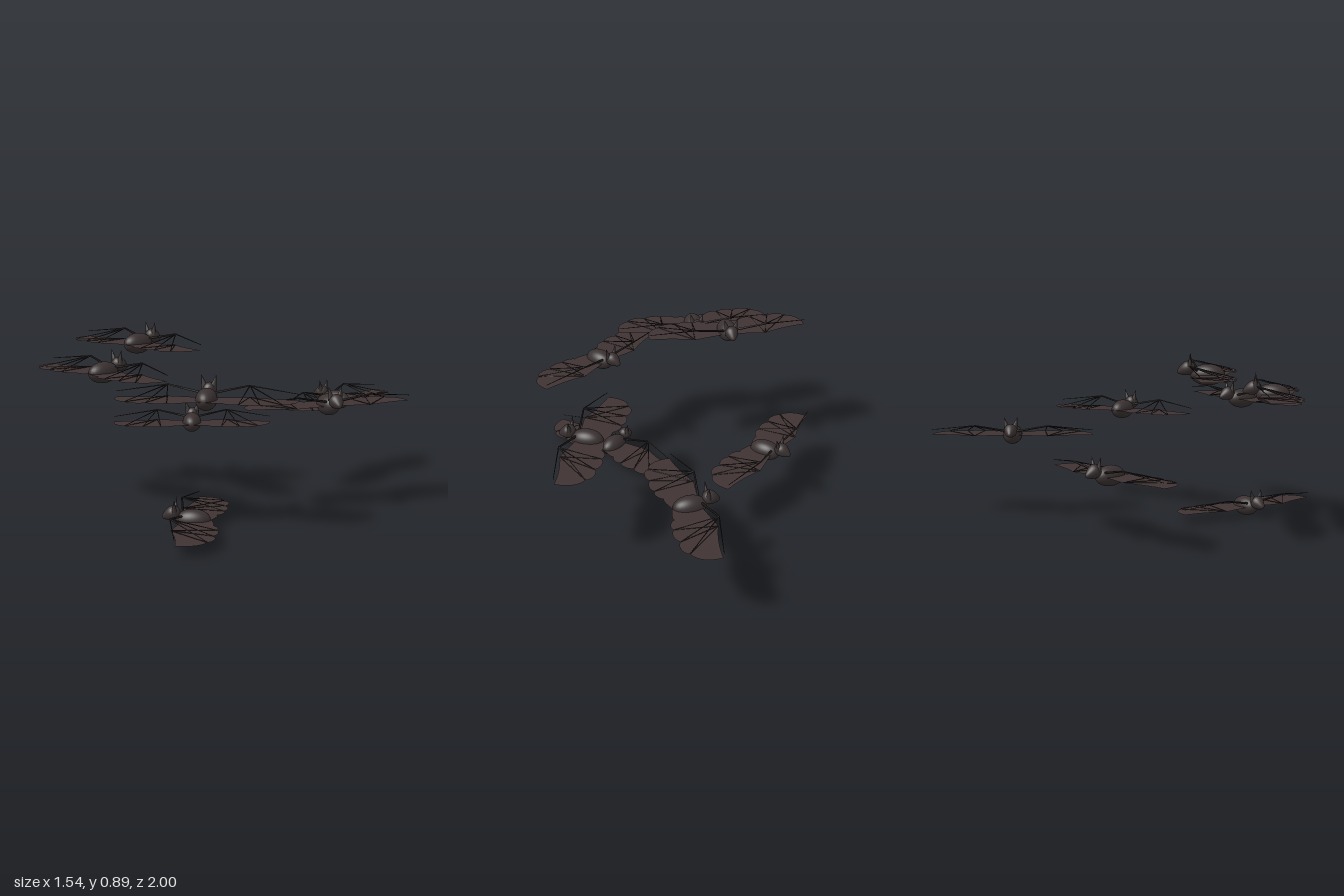
import * as THREE from 'three';

const mat = (name, color, side = THREE.FrontSide) => {
  const m = new THREE.MeshStandardMaterial({ color, side });
  m.name = name;
  return m;
};
const fur = mat('dark fur', 0x3a3131);
const skin = mat('wing skin', 0x403333, THREE.DoubleSide);
const bone = mat('wing bone', 0x1f1919);

const V = (x, y, z) => new THREE.Vector3(x, y, z);

function part(name, geometry, material, parent) {
  const m = new THREE.Mesh(geometry, material);
  m.name = name;
  parent.add(m);
  return m;
}

// Tapered rod between two points
function rod(name, a, b, rA, rB, parent, material = bone, sides = 6) {
  const m = part(name, new THREE.CylinderGeometry(rB, rA, a.distanceTo(b), sides), material, parent);
  m.position.copy(a).add(b).multiplyScalar(0.5);
  m.quaternion.setFromUnitVectors(V(0, 1, 0), b.clone().sub(a).normalize());
  return m;
}

// Flat membrane of one wing: x is outward, shape y is forward
function membraneGeometry() {
  const s = new THREE.Shape();
  s.moveTo(0, 0.04);
  s.lineTo(0.03, 0.05);
  s.lineTo(0.187, 0.076);
  s.quadraticCurveTo(0.29, 0.033, 0.412, 0.024);
  s.bezierCurveTo(0.418, -0.03, 0.4, -0.09, 0.345, -0.105);
  s.bezierCurveTo(0.335, -0.138, 0.265, -0.143, 0.25, -0.118);
  s.bezierCurveTo(0.235, -0.143, 0.17, -0.146, 0.158, -0.121);
  s.bezierCurveTo(0.145, -0.14, 0.095, -0.125, 0.085, -0.1);
  s.bezierCurveTo(0.07, -0.108, 0.03, -0.095, 0, -0.083);
  const g = new THREE.ShapeGeometry(s, 8);
  g.rotateX(Math.PI / 2);
  return g;
}

function makeWing() {
  const wing = new THREE.Group();
  part('membrane', membraneGeometry(), skin, wing);
  const shoulder = V(0.03, 0.022, 0.05), wrist = V(0.187, 0.053, 0.078);
  rod('armBone', shoulder, wrist, 0.006, 0.004, wing);
  // Fingers fan out from the wrist to the scallop notches
  const ends = [V(0.413, 0.026, 0.026), V(0.345, 0.003, -0.104), V(0.25, 0.002, -0.117), V(0.158, 0.002, -0.12)];
  for (const end of ends) rod('fingerBone', wrist, end, 0.003, 0.0014, wing);
  // Ribs lying on the membrane
  const root = V(0.187, 0.001, 0.074);
  for (const end of ends.slice(1)) rod('rib', root, V(end.x, 0.001, end.z), 0.002, 0.0012, wing, bone, 4);
  return wing;
}

function makeBat() {
  const bat = new THREE.Group();
  const body = part('body', new THREE.SphereGeometry(1, 28, 20), fur, bat);
  body.scale.set(0.049, 0.05, 0.081);

  // Head: teardrop pointing forward and slightly down
  const profile = [[0, -0.036], [0.016, -0.032], [0.028, -0.02], [0.034, -0.002], [0.029, 0.018],
    [0.019, 0.036], [0.011, 0.047], [0.005, 0.052], [0, 0.053]];
  const curve = new THREE.SplineCurve(profile.map(([r, h]) => new THREE.Vector2(r, h)));
  const points = curve.getPoints(24).map(p => new THREE.Vector2(Math.max(p.x, 0), p.y));
  const head = part('head', new THREE.LatheGeometry(points, 24), fur, bat);
  head.position.set(0, 0.03, 0.094);
  head.rotation.x = Math.PI / 2 + 0.4;

  for (const side of [1, -1]) {
    const ear = rod('ear', V(side * 0.018, 0.036, 0.084), V(side * 0.034, 0.098, 0.082), 0.018, 0.0005, bat, fur, 16);
    ear.scale.z = 0.7;
    const wing = makeWing();
    wing.name = side > 0 ? 'leftWing' : 'rightWing';
    wing.scale.x = side;
    bat.add(wing);
  }
  return bat;
}

export function createModel() {
  const flock = new THREE.Group();
  flock.name = 'batFlock';
  // Position x, y, z and heading x, z of each bat
  const places = [
    [0.2, 0.435, -0.582, -0.998, -0.064],
    [-0.395, 0.32, -0.1, -0.6, -0.8],
    [0.51, 0.525, 0, 0.82, 0.57],
    [-0.363, 0.79, 0.36, 0.135, -0.99],
    [-0.3, 0.69, 0.68, 0.135, -0.99],
    [0.255, 0.61, 0.615, -0.49, -0.87],
    [0.19, 0.05, 0.633, -0.86, 0.51],
  ];
  places.forEach(([x, y, z, hx, hz], i) => {
    const bat = makeBat();
    bat.name = 'bat' + (i + 1);
    bat.position.set(x, y, z);
    bat.rotation.y = Math.atan2(hx, hz);
    flock.add(bat);
  });
  return flock;
}
